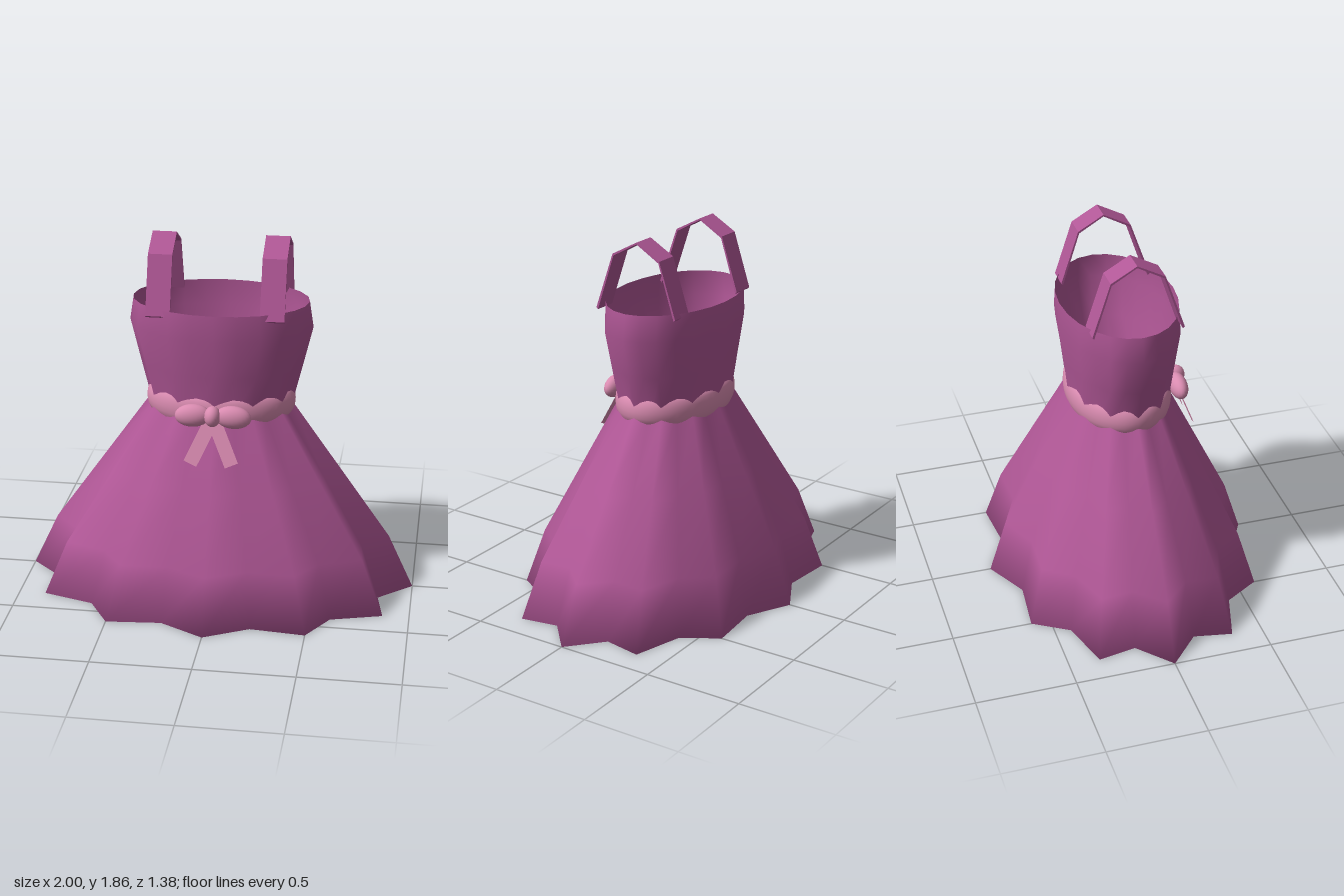
import * as THREE from 'three';

const SEGMENTS = 24; // twelve pleats, one ridge and one valley each
const DEPTH = 0.69; // front-to-back ratio of the skirt

// Pleated elliptical loft through rings of [y, rx, rz, valley scale]
function pleatedLoft(rings) {
  const pos = [], index = [];
  rings.forEach(([y, rx, rz, valley], r) => {
    for (let i = 0; i < SEGMENTS; i++) {
      const t = (i / SEGMENTS) * Math.PI * 2;
      const k = i % 2 ? valley : 1;
      pos.push(Math.sin(t) * rx * k, y, Math.cos(t) * rz * k);
      if (r === rings.length - 1) continue;
      const a = r * SEGMENTS + i, b = r * SEGMENTS + ((i + 1) % SEGMENTS);
      index.push(a, b, b + SEGMENTS, a, b + SEGMENTS, a + SEGMENTS);
    }
  });
  const g = new THREE.BufferGeometry();
  g.setAttribute('position', new THREE.Float32BufferAttribute(pos, 3));
  g.setIndex(index);
  g.computeVertexNormals();
  return g;
}

export function createModel() {
  const group = new THREE.Group();
  const fabric = new THREE.MeshStandardMaterial({ color: 0xb05796, side: THREE.DoubleSide });
  fabric.name = 'plum fabric';
  const ribbon = new THREE.MeshStandardMaterial({ color: 0xd98bb0, side: THREE.DoubleSide });
  ribbon.name = 'pink ribbon';
  const add = (name, geometry, material, parent = group) => {
    const m = new THREE.Mesh(geometry, material);
    m.name = name;
    parent.add(m);
    return m;
  };

  // Skirt: lining downwards, round the hem, then the outside upwards
  const skirtRing = (y, r, valley) => [y, r, r * DEPTH, valley];
  const skirt = pleatedLoft([
    skirtRing(1.0, 0.345, 0.92), skirtRing(0.28, 0.85, 0.88), skirtRing(0, 0.98, 0.86),
    skirtRing(0, 1.0, 0.86), skirtRing(0.28, 0.87, 0.88), skirtRing(0.64, 0.615, 0.9),
    skirtRing(1.0, 0.36, 0.92),
  ]);
  // Roll the hem normals under for a soft edge
  const n = skirt.attributes.normal, v = new THREE.Vector3();
  for (let i = 3 * SEGMENTS; i < 4 * SEGMENTS; i++) {
    v.fromBufferAttribute(n, i).setY(-0.35).normalize();
    n.setXYZ(i, v.x, v.y, v.z);
  }
  add('skirt', skirt, fabric);

  // Bodice, open at the top
  add('bodice', pleatedLoft([
    [0.99, 0.36, 0.25, 0.92], [1.2, 0.412, 0.273, 0.95],
    [1.4, 0.46, 0.297, 0.98], [1.53, 0.44, 0.29, 1],
  ]), fabric);

  // Belt, with the pleats breaking through its edges
  const belt = new THREE.TorusGeometry(0.332, 0.045, 16, 48);
  belt.rotateX(Math.PI / 2);
  belt.scale(1, 1.7, DEPTH + 0.005);
  add('belt', belt, ribbon).position.y = 1.01;

  // Shoulder straps: a thin folded band
  const path = [[-0.24, 1.5], [-0.14, 1.785], [0, 1.86], [0.13, 1.785], [0.22, 1.51]];
  const outline = [
    ...path,
    ...path.map(([z, y]) => [z * 0.96, y - 0.009]).reverse(),
  ].map(([z, y]) => new THREE.Vector2(z, y));
  for (const side of [1, -1]) {
    const strap = new THREE.ExtrudeGeometry(new THREE.Shape(outline), { depth: 0.12, bevelEnabled: false });
    strap.translate(0, 0, -0.06);
    strap.rotateY(Math.PI / 2);
    add(side > 0 ? 'leftStrap' : 'rightStrap', strap, fabric).position.x = side * 0.28;
  }

  // Bow: two loops, a knot and two hanging tails
  const bow = new THREE.Group();
  bow.name = 'bow';
  group.add(bow);
  for (const side of [1, -1]) {
    const loop = add('bowLoop', new THREE.SphereGeometry(1, 24, 16), ribbon, bow);
    loop.scale.set(0.09, 0.058, 0.045);
    loop.position.set(side * 0.1, 1.015, 0.295);
    loop.rotation.z = side * -0.06;

    const tail = new THREE.PlaneGeometry(0.07, 0.22);
    tail.rotateZ(side * 0.42);
    tail.rotateX(-0.34);
    add('bowTail', tail, ribbon, bow).position.set(side * 0.058, 0.885, 0.342);
  }
  const knot = add('bowKnot', new THREE.SphereGeometry(1, 24, 16), ribbon, bow);
  knot.scale.set(0.041, 0.052, 0.05);
  knot.position.set(0, 1.02, 0.31);

  return group;
}
